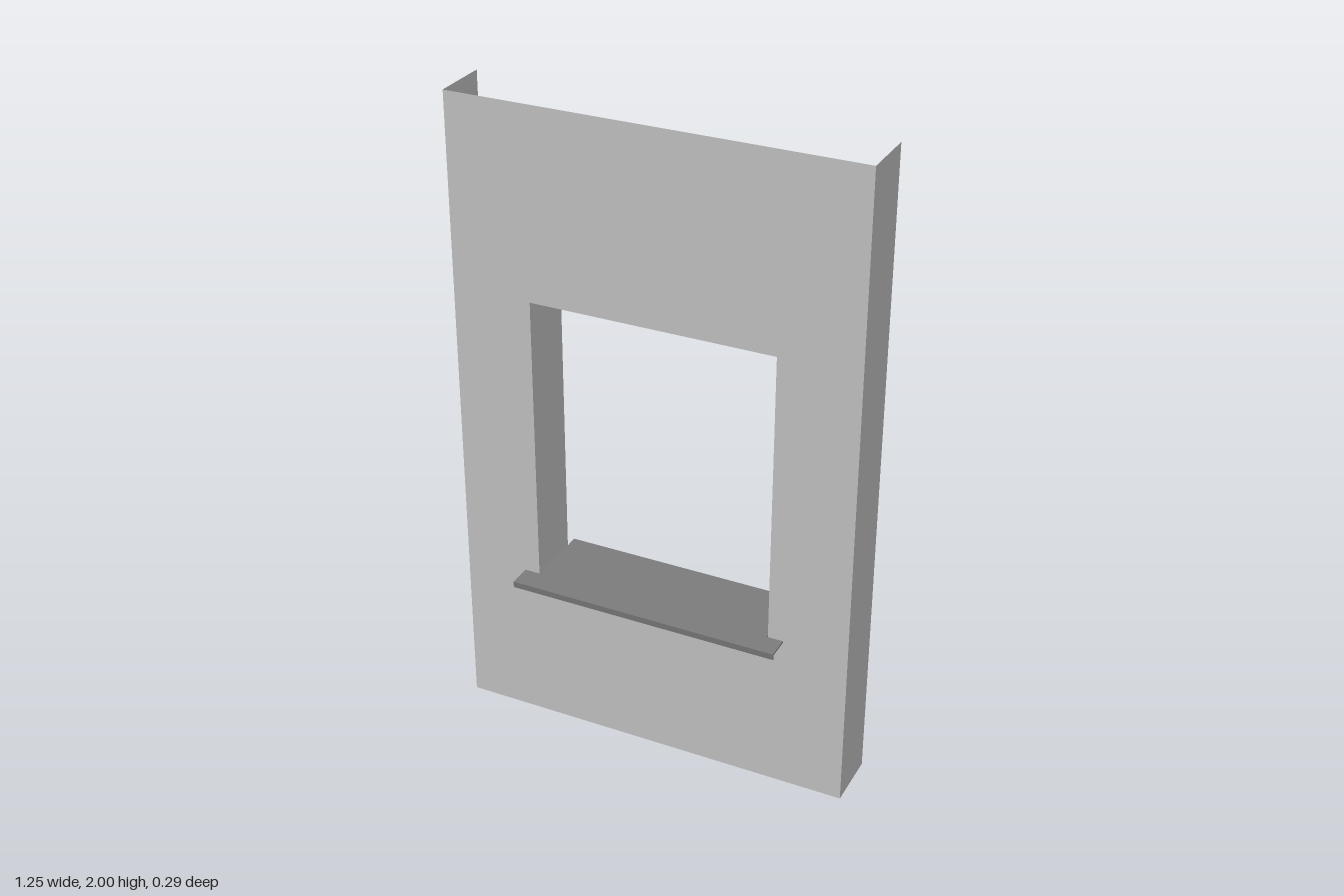
import * as THREE from 'three';

const FRONT = 0.071, BACK = -0.109;        // depth range of the folded wall panel
const HALF_W = 0.623, HEIGHT = 2;
const OPEN_W = 0.376, OPEN_B = 0.501, OPEN_T = 1.415;

export function createModel() {
  const model = new THREE.Group();
  const sheet = new THREE.MeshStandardMaterial({ color: 0xcccccc, side: THREE.DoubleSide });
  const dark = new THREE.MeshStandardMaterial({ color: 0x7c7c7c });

  const add = (name, geometry, material) => {
    const mesh = new THREE.Mesh(geometry, material);
    mesh.name = name;
    model.add(mesh);
    return mesh;
  };

  // Front sheet with the window opening cut out
  const rect = (Type, w, y0, y1) => new Type([
    new THREE.Vector2(-w, y0), new THREE.Vector2(w, y0),
    new THREE.Vector2(w, y1), new THREE.Vector2(-w, y1),
  ]);
  const face = rect(THREE.Shape, HALF_W, 0, HEIGHT);
  face.holes.push(rect(THREE.Path, OPEN_W, OPEN_B, OPEN_T));
  add('wallFace', new THREE.ShapeGeometry(face).translate(0, 0, FRONT), sheet);

  const depth = FRONT - BACK, midZ = (FRONT + BACK) / 2;

  // Side returns and window jambs, folded back from the front sheet
  for (const [label, side] of [['left', 1], ['right', -1]]) {
    const upright = (name, x, y0, y1) =>
      add(name, new THREE.PlaneGeometry(depth, y1 - y0)
        .rotateY(side * Math.PI / 2).translate(side * x, (y0 + y1) / 2, midZ), sheet);
    upright(label + 'WallReturn', HALF_W, 0, HEIGHT);
    upright(label + 'Jamb', OPEN_W, OPEN_B, OPEN_T);
  }

  // Top and bottom of the window reveal
  for (const [name, y, turn] of [['revealHead', OPEN_T, -1], ['revealBase', OPEN_B, 1]]) {
    add(name, new THREE.PlaneGeometry(OPEN_W * 2, depth)
      .rotateX(turn * Math.PI / 2).translate(0, y, midZ), sheet);
  }

  // Thin sill: narrow through the opening, wider ears in front of the wall
  const sillT = 0.005, nose = 0.145, tail = -0.147, ear = 0.424, inner = OPEN_W - 0.002;
  const outline = new THREE.Shape([
    [-inner, tail], [inner, tail], [inner, FRONT + 0.001], [ear, FRONT + 0.001],
    [ear, nose], [-ear, nose], [-ear, FRONT + 0.001], [-inner, FRONT + 0.001],
  ].map(([x, z]) => new THREE.Vector2(x, -z)));
  add('sillBoard', new THREE.ExtrudeGeometry(outline, { depth: sillT, bevelEnabled: false })
    .rotateX(-Math.PI / 2).translate(0, OPEN_B + 0.002, 0), dark);

  // Turned-down front lip of the sill
  const lipH = 0.014, lipT = 0.006;
  add('sillLip', new THREE.BoxGeometry(ear * 2, lipH, lipT)
    .translate(0, OPEN_B + 0.002 - lipH / 2, nose - lipT / 2), dark);

  return model;
}
